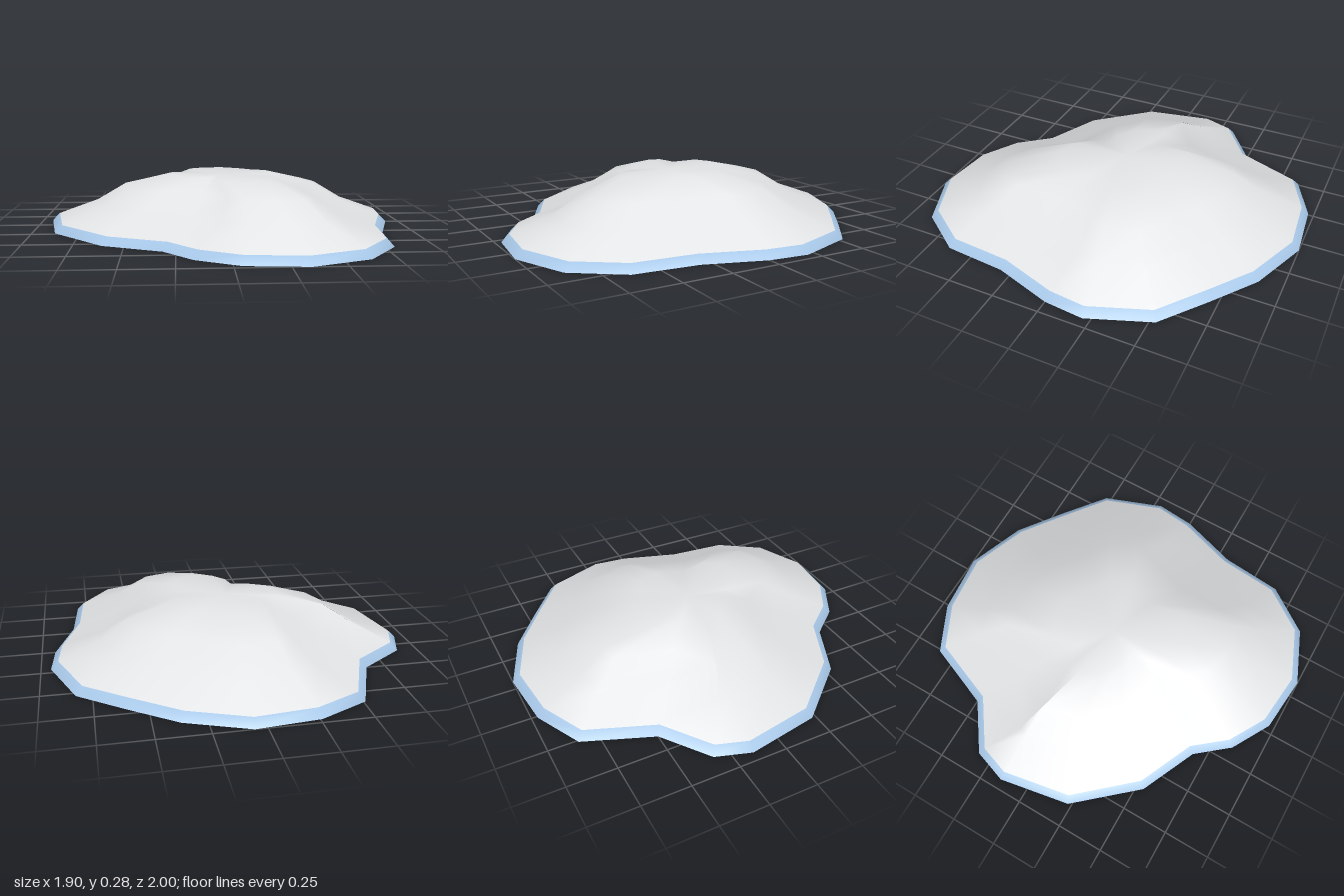
import * as THREE from 'three';

// Irregular ground outline as [x, z], clockwise seen from above
const OUTLINE = [
  [0.06, -1], [0.37, -0.88], [0.6, -0.71], [0.83, -0.53], [0.95, -0.21],
  [0.93, 0], [0.83, 0.31], [0.8, 0.64], [0.63, 0.88], [0.34, 1],
  [0.04, 0.97], [-0.17, 0.85], [-0.31, 0.68], [-0.61, 0.54], [-0.88, 0.23],
  [-0.95, -0.15], [-0.89, -0.33], [-0.65, -0.5], [-0.51, -0.85], [-0.26, -0.97],
];

// Rings from the ground up: height, distance moved inwards,
// and how far that move follows the edge normal rather than the centre
const RINGS = [
  { y: 0, inset: 0, along: 0 },
  { y: 0.04, inset: 0.04, along: 0.7 },
  { y: 0.12, inset: 0.26, along: 0.7 },
  { y: 0.215, inset: 0.42, along: 0.5 },
];
const TOP_Y = 0.275;

function createModel() {
  const group = new THREE.Group();
  group.name = 'snowMound';

  const ice = new THREE.MeshStandardMaterial({ color: 0xa8c8e8, side: THREE.DoubleSide });
  ice.name = 'iceBlue';
  const snow = new THREE.MeshStandardMaterial({ color: 0xe4e6e8, side: THREE.DoubleSide });
  snow.name = 'snowWhite';

  const n = OUTLINE.length;
  const points = OUTLINE.map(([x, z]) => new THREE.Vector2(x, z));
  const positions = [];

  // Sloping rings
  for (const { y, inset, along } of RINGS) {
    points.forEach((p, i) => {
      const t = points[(i + 1) % n].clone().sub(points[(i + n - 1) % n]);
      const normal = new THREE.Vector2(t.y, -t.x).normalize();
      const dir = p.clone().normalize().lerp(normal, along).normalize();
      positions.push(p.x - dir.x * inset, y, p.y - dir.y * inset);
    });
  }

  // Flat summit ring and its centre
  for (const p of points) {
    const r = p.length();
    const k = ((r - 0.67) + r * 0.32) / 2 / r;
    positions.push(p.x * k, TOP_Y, p.y * k);
  }
  positions.push(0, TOP_Y, 0);

  // Faces between rings, then the summit fan
  const index = [];
  for (let ring = 0; ring < RINGS.length; ring++) {
    for (let i = 0; i < n; i++) {
      const a = ring * n + i;
      const b = ring * n + ((i + 1) % n);
      index.push(a, a + n, b, b, a + n, b + n);
    }
  }
  const top = RINGS.length * n;
  for (let i = 0; i < n; i++) index.push(top + n, top + ((i + 1) % n), top + i);

  const geometry = new THREE.BufferGeometry();
  geometry.setAttribute('position', new THREE.Float32BufferAttribute(positions, 3));
  geometry.setIndex(index);
  geometry.computeVertexNormals();

  // Icy rim at the ground, snow above it; the underside is open
  geometry.addGroup(0, n * 6, 0);
  geometry.addGroup(n * 6, index.length - n * 6, 1);

  const mound = new THREE.Mesh(geometry, [ice, snow]);
  mound.name = 'moundWithIcyRim';
  group.add(mound);
  return group;
}

export { createModel };
